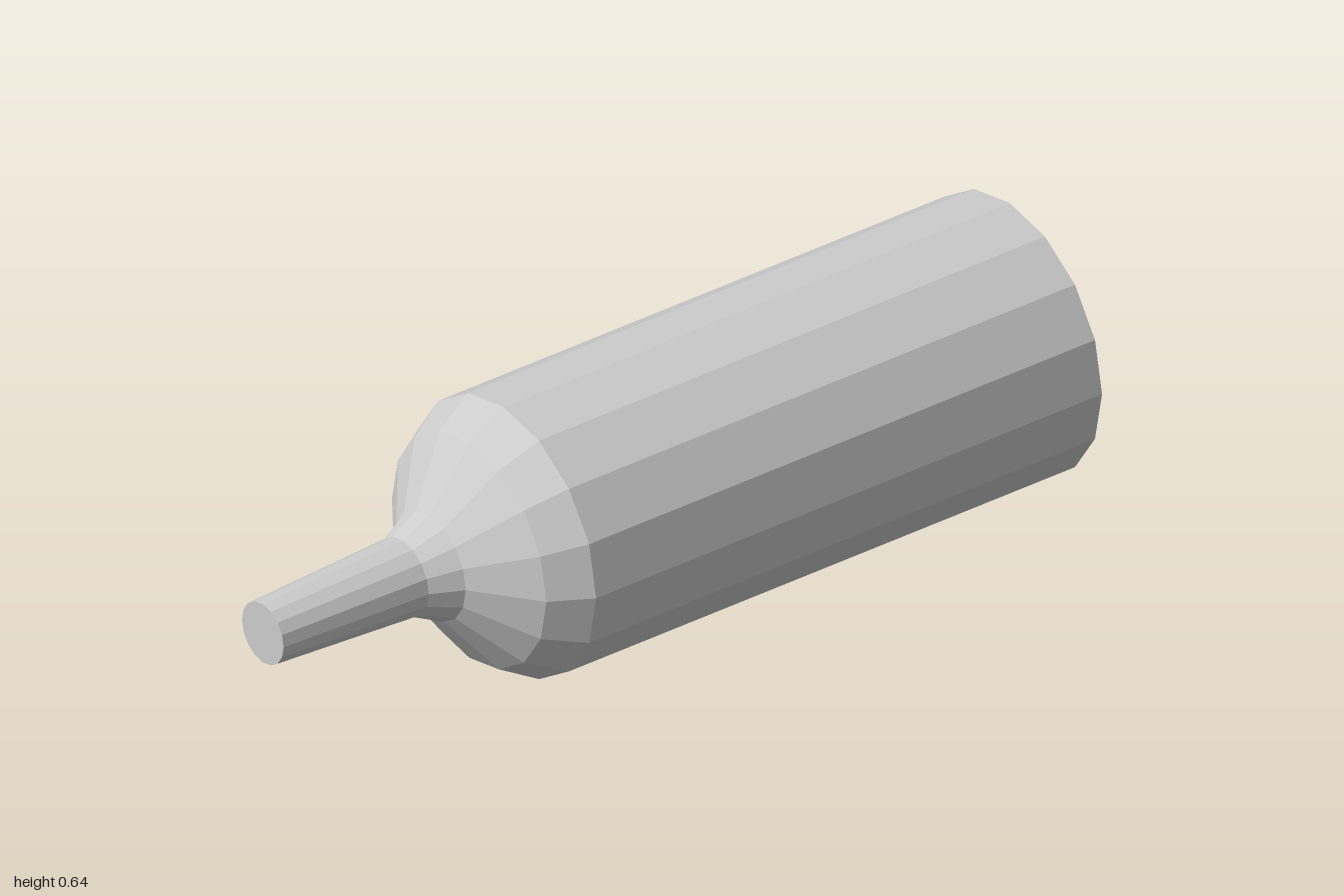
import * as THREE from 'three';

const SIDES = 16;
const AXIS_Y = 0.32;

export function createModel() {
  const group = new THREE.Group();
  group.name = 'nozzledCylinder';
  const grey = new THREE.MeshStandardMaterial({ color: 0xcccccc });
  grey.name = 'plain grey';

  const add = (name, geometry) => {
    const flat = geometry.toNonIndexed();
    flat.computeVertexNormals(); // faceted look
    const mesh = new THREE.Mesh(flat, grey);
    mesh.name = name;
    mesh.position.y = AXIS_Y;
    group.add(mesh);
  };

  // Turned section along z, from [z, radius] pairs running back to front
  const turned = (name, profile) => {
    const points = profile.map(([z, r]) => new THREE.Vector2(r, z));
    add(name, new THREE.LatheGeometry(points, SIDES).rotateX(Math.PI / 2));
  };

  turned('body', [[-1, 0.32], [0.355, 0.32]]);
  turned('shoulder', [[0.355, 0.32], [0.447, 0.267], [0.553, 0.125], [0.625, 0.09]]);
  turned('nozzle', [[0.625, 0.09], [1, 0.072]]);

  // Flat end caps
  add('backCap', new THREE.CircleGeometry(0.32, SIDES).rotateY(Math.PI).translate(0, 0, -1));
  add('nozzleTip', new THREE.CircleGeometry(0.072, SIDES).translate(0, 0, 1));

  return group;
}
